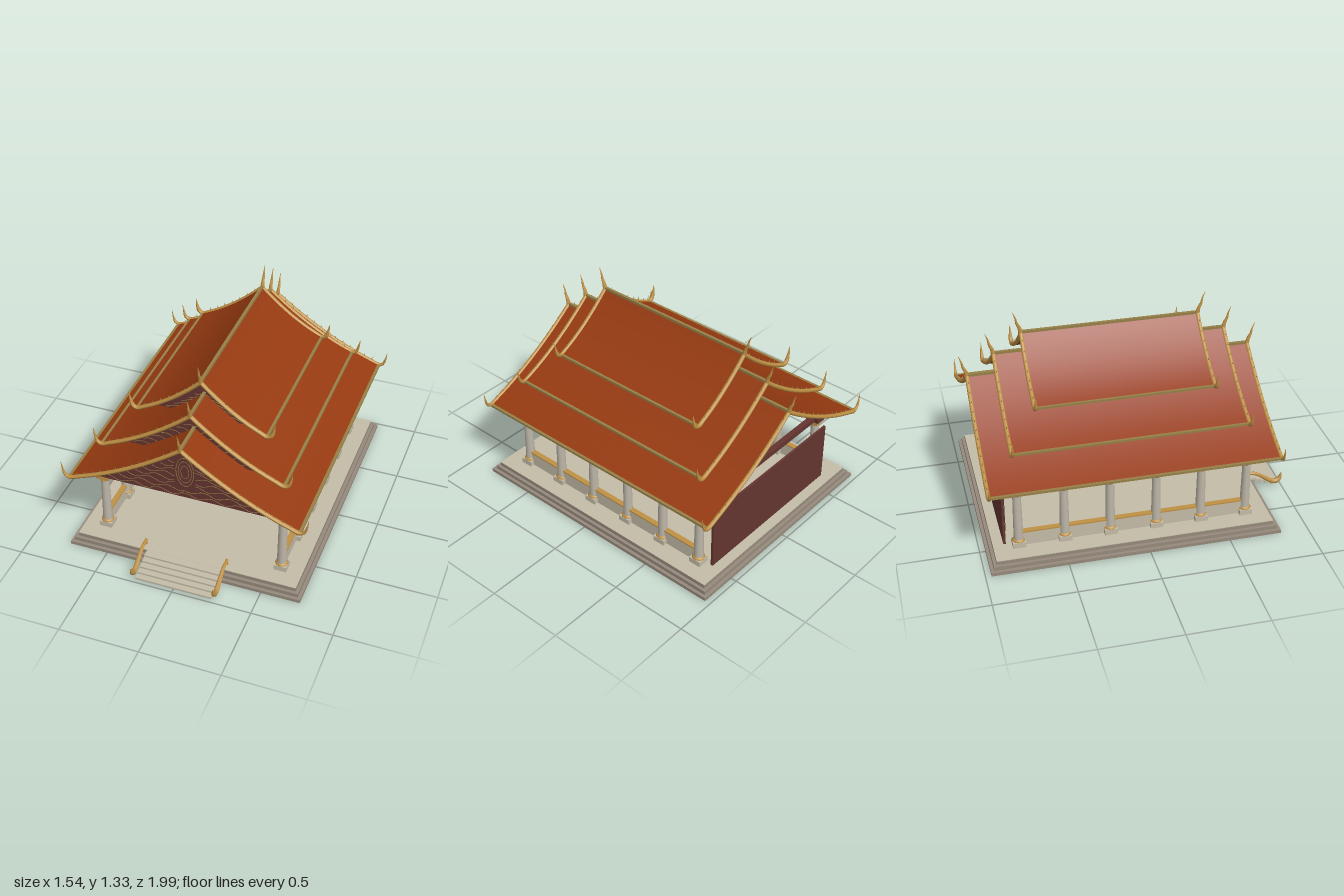
import * as THREE from 'three';
import { toCreasedNormals } from 'three/addons/utils/BufferGeometryUtils.js';

const mat = (name, color, side = THREE.FrontSide) => {
  const m = new THREE.MeshStandardMaterial({ color, side });
  m.name = name;
  return m;
};

export function createModel() {
  const root = new THREE.Group();
  root.name = 'pavilion';
  const tile = mat('roofTile', 0x963a10);
  const wood = mat('darkRedWood', 0x643430);
  const gold = mat('gold', 0xbe9044);
  const oldGold = mat('agedGold', 0x978048);
  const stone = mat('paleStone', 0xc4bca8);
  const step = mat('greyStone', 0x968a7c);
  const shaftMat = mat('columnPlaster', 0xbdb6a8);
  const dark = mat('darkPanel', 0x36362d);

  const add = (name, geo, material, x = 0, y = 0, z = 0, parent = root) => {
    const m = new THREE.Mesh(geo, material);
    m.name = name;
    m.position.set(x, y, z);
    parent.add(m);
    return m;
  };
  const box = (name, material, w, h, d, x, y, z, parent) =>
    add(name, new THREE.BoxGeometry(w, h, d), material, x, y, z, parent);
  const V = (x, y, z) => new THREE.Vector3(x, y, z);

  // tube whose radius follows a rule along its length
  const taperTube = (points, radiusAt, segs = 24, sides = 8) => {
    const curve = new THREE.CatmullRomCurve3(points);
    const geo = new THREE.TubeGeometry(curve, segs, 1, sides);
    const p = geo.attributes.position, v = new THREE.Vector3();
    for (let i = 0; i <= segs; i++) {
      const c = curve.getPointAt(i / segs), r = radiusAt(i / segs);
      for (let j = 0; j <= sides; j++) {
        const k = i * (sides + 1) + j;
        v.fromBufferAttribute(p, k).sub(c).multiplyScalar(r).add(c);
        p.setXYZ(k, v.x, v.y, v.z);
      }
    }
    geo.computeVertexNormals();
    return geo;
  };

  // stepped platform
  const zMid = -0.07;
  box('platformLower', step, 1.49, 0.022, 1.79, 0, 0.011, zMid);
  box('platformMiddle', step, 1.45, 0.024, 1.75, 0, 0.034, zMid);
  box('platformUpper', step, 1.41, 0.024, 1.71, 0, 0.057, zMid);
  box('floor', stone, 1.41, 0.004, 1.71, 0, 0.071, zMid);

  // front stairs and serpent-like railings
  for (let i = 0; i < 5; i++)
    box('stair', stone, 0.49, 0.013, 0.05, 0, 0.0155 + i * 0.0125, 0.957 - i * 0.037);
  for (const s of [-1, 1]) {
    const x = s * 0.262;
    const rail = [[0.125, 0.75], [0.122, 0.81], [0.095, 0.86], [0.06, 0.91], [0.042, 0.95], [0.055, 0.98], [0.1, 0.994]];
    add('stairRailing', taperTube(rail.map(([y, z]) => V(x, y, z)),
      t => t < 0.8 ? 0.009 + 0.01 * t : 0.017 * (1.05 - t) / 0.25 + 0.001), gold);
    const crest = new THREE.ConeGeometry(0.011, 0.05, 6);
    add('railingCrest', crest, gold, x, 0.125, 0.76);
  }

  // columns, beams and low side walls
  const colZ = [0.64, 0.355, 0.075, -0.21, -0.49, -0.77];
  const L = pts => new THREE.LatheGeometry(pts.map(([r, y]) => new THREE.Vector2(r, y)), 20);
  const baseRing = L([[0.038, 0.105], [0.04, 0.112], [0.034, 0.12], [0.029, 0.122]]);
  const shaft = new THREE.CylinderGeometry(0.025, 0.03, 0.33, 20);
  const capital = toCreasedNormals(L([[0.025, 0.43], [0.032, 0.437], [0.032, 0.445], [0.027, 0.448],
    [0.037, 0.462], [0.037, 0.472], [0.0, 0.472]]), 0.6);
  for (const s of [-1, 1]) {
    for (const z of colZ) {
      const col = new THREE.Group();
      col.name = 'column';
      col.position.set(s * 0.57, 0, z);
      root.add(col);
      box('columnBase', stone, 0.08, 0.036, 0.08, 0, 0.09, 0, col);
      add('columnBaseRing', baseRing, gold, 0, 0, 0, col);
      add('columnShaft', shaft, shaftMat, 0, 0.28, 0, col);
      add('columnCapital', capital, gold, 0, 0, 0, col);
      box('capitalPlate', gold, 0.08, 0.018, 0.08, 0, 0.465, 0, col);
    }
    box('sideBeam', wood, 0.08, 0.034, 1.49, s * 0.57, 0.489, zMid);
    box('lowWall', stone, 0.025, 0.092, 1.4, s * 0.57, 0.118, zMid);
    box('lowWallRail', gold, 0.034, 0.008, 1.4, s * 0.57, 0.167, zMid);
  }
  for (const z of colZ) box('crossBeam', wood, 1.1, 0.034, 0.035, 0, 0.489, z);

  // back wall with five framed panels
  box('backWall', wood, 1.1, 0.395, 0.015, 0, 0.27, -0.853);
  for (let i = -2; i <= 2; i++) {
    const x = i * 0.1875;
    box('panelFrame', gold, 0.178, 0.36, 0.012, x, 0.27, -0.84);
    box('panel', dark, 0.162, 0.344, 0.006, x, 0.27, -0.833);
  }

  // one roof tier: curved tiles, gable, trims and finials
  const drop = t => 1.4 * t - 0.4 * t * t;
  const dropInverse = k => (1.4 - Math.sqrt(1.96 - 1.6 * k)) / 0.8;
  const addTier = ({ name, ridge, eave, w, front, back, gableW, gableBottom, medallion }) => {
    const g = new THREE.Group();
    g.name = name;
    root.add(g);
    const h = ridge - eave, len = front - back, zc = (front + back) / 2, N = 16;
    const yAt = t => ridge - h * drop(t);

    // tiled slopes
    const section = new THREE.Shape();
    for (let i = -N; i <= N; i++) {
      const t = i / N;
      section[i === -N ? 'moveTo' : 'lineTo'](t * w, yAt(Math.abs(t)));
    }
    for (let i = N; i >= -N; i--) section.lineTo(i / N * w, yAt(Math.abs(i / N)) - 0.014);
    const roof = new THREE.ExtrudeGeometry(section, { depth: len, bevelEnabled: false });
    add('roofSlopes', toCreasedNormals(roof, 0.4), tile, 0, 0, back, g);

    // front gable board
    const gz = front - 0.07;
    const board = new THREE.Shape();
    board.moveTo(-gableW, gableBottom);
    board.lineTo(gableW, gableBottom);
    for (let i = 10; i >= -10; i--) {
      const t = i / 10 * 0.8 * gableW / (0.85 * w);
      board.lineTo(t * w, yAt(Math.abs(t)) - 0.013);
    }
    add('gable', new THREE.ExtrudeGeometry(board, { depth: 0.01, bevelEnabled: false }), wood, 0, 0, gz, g);

    // carved scrollwork
    const line = (pts, closed = false) => add('gableScroll',
      new THREE.TubeGeometry(new THREE.CatmullRomCurve3(pts, closed), pts.length * 2, 0.0022, 4, closed),
      oldGold, 0, 0, gz + 0.011, g);
    for (let y0 = gableBottom + 0.02, row = 0; y0 < ridge - 0.07; y0 += 0.034, row++) {
      const reach = Math.min(dropInverse((ridge - y0 - 0.035) / h) * w, gableW) - 0.045;
      if (reach < 0.03) continue;
      const inner = medallion && Math.abs(y0 - 0.73) < 0.12 ? 0.065 : 0;
      if (reach - inner < 0.02) continue;
      for (const s of [-1, 1]) {
        const pts = [];
        for (let i = 0; i <= 24; i++) {
          const x = inner + (reach - inner) * i / 24;
          pts.push(V(s * x, y0 + 0.012 * Math.cos(x * 38 + row * 1.9), 0));
        }
        line(pts);
      }
    }
    if (medallion) for (const k of [1, 0.75, 0.45]) {
      const pts = [];
      for (let i = 0; i < 20; i++) {
        const a = i / 20 * Math.PI * 2;
        pts.push(V(0.055 * k * Math.cos(a), 0.73 + 0.105 * k * Math.sin(a), 0));
      }
      line(pts, true);
    }

    // ridge and eave trims
    box('ridgeTrim', oldGold, 0.018, 0.016, len, 0, ridge + 0.002, zc, g);
    for (const s of [-1, 1]) box('eaveTrim', oldGold, 0.018, 0.014, len, s * w, eave - 0.004, zc, g);

    for (const [z, d] of [[front, 1], [back, -1]]) {
      // ridge finial
      const finial = [[0, -0.01], [0.008, 0.03], [0.022, 0.06], [0.028, 0.09], [0.045, 0.135]];
      add('ridgeFinial', taperTube(finial.map(([a, b]) => V(0, ridge + b, z + d * a)),
        t => 0.0135 * (1 - t) + 0.001, 16), gold, 0, 0, 0, g);
      for (const s of [-1, 1]) {
        // bargeboard ending in an upturned hook
        const pts = [];
        for (let i = 0; i <= 10; i++) pts.push(V(s * w * i / 10, yAt(i / 10) - 0.004, z));
        pts.push(V(s * (w + 0.027), eave + 0.008, z), V(s * (w + 0.042), eave + 0.05, z), V(s * (w + 0.05), eave + 0.1, z));
        add('bargeboard', taperTube(pts, t => t < 0.85 ? 0.013 : 0.013 * (1 - t) / 0.15 + 0.001, 48), gold, 0, 0, 0, g);
        // small flame barbs
        const count = Math.round(w * 20);
        for (let i = 1; i < count; i++) {
          const t = i / count;
          const barb = add('barb', new THREE.ConeGeometry(0.005, 0.026, 4), oldGold, s * w * t, yAt(t) + 0.016, z, g);
          barb.rotation.z = -s * 0.25;
        }
      }
    }
  };

  addTier({ name: 'lowerRoof', ridge: 0.94, eave: 0.54, w: 0.72, front: 0.805, back: -0.95,
    gableW: 0.61, gableBottom: 0.54, medallion: true });
  addTier({ name: 'middleRoof', ridge: 1.07, eave: 0.715, w: 0.57, front: 0.645, back: -0.785,
    gableW: 0.48, gableBottom: 0.72 });
  addTier({ name: 'upperRoof', ridge: 1.19, eave: 0.905, w: 0.405, front: 0.475, back: -0.615,
    gableW: 0.34, gableBottom: 0.905 });

  return root;
}
